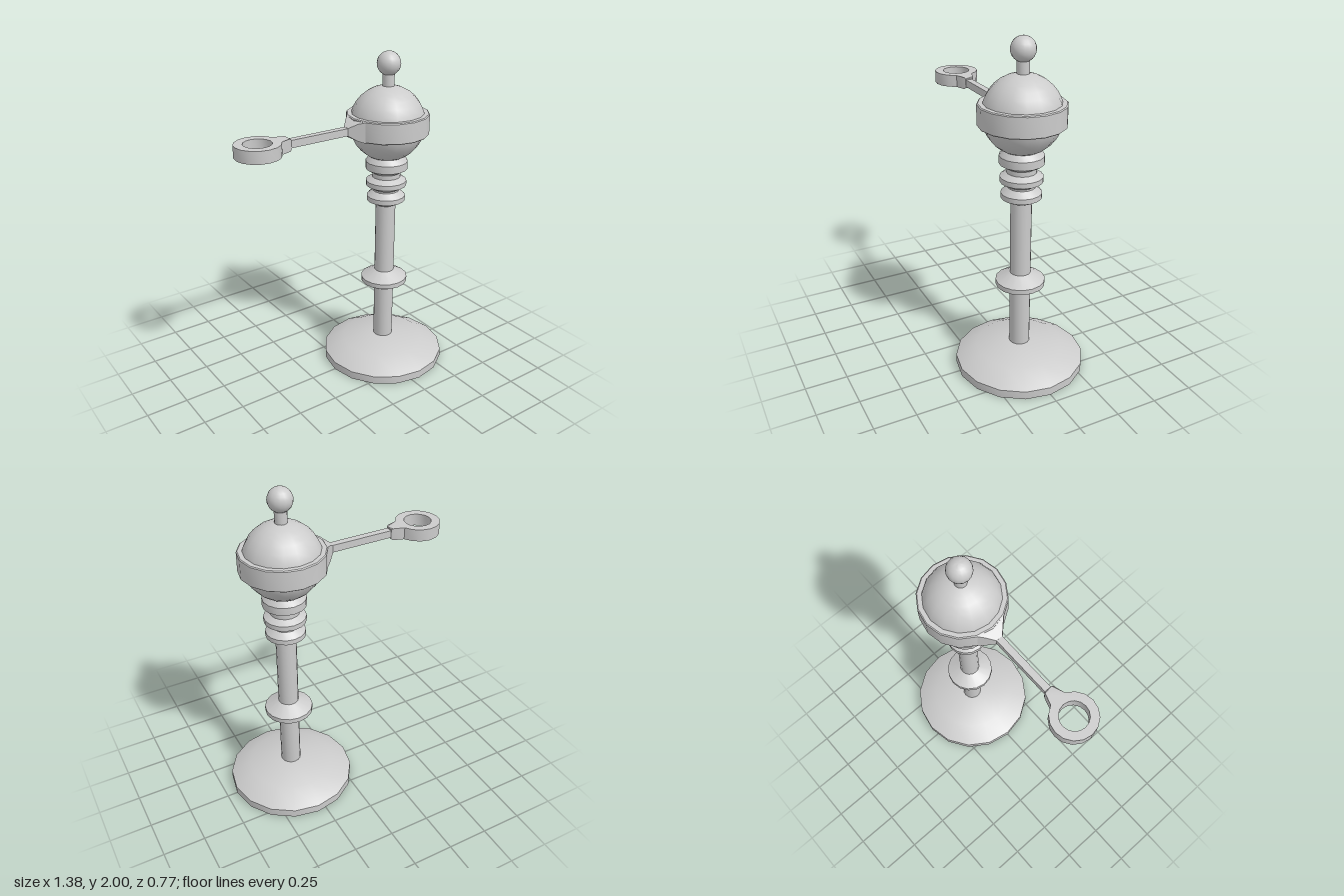
import * as THREE from 'three';
import { toCreasedNormals } from 'three/addons/utils/BufferGeometryUtils.js';

const SIDES = 16;
const AXIS_X = 0.303; // the post stands off centre, the arm reaches to -x
const ARM_Y = 1.58;

export function createModel() {
  const model = new THREE.Group();
  const material = new THREE.MeshStandardMaterial({ color: 0xcccccc });

  const add = (name, geometry, x, y, crease = 0.5) => {
    const mesh = new THREE.Mesh(toCreasedNormals(geometry, crease), material);
    mesh.name = name;
    mesh.position.set(x, y, 0);
    model.add(mesh);
  };
  // Turned part from [radius, height] pairs, bottom to top
  const turn = (name, profile) =>
    add(name, new THREE.LatheGeometry(profile.map(([r, y]) => new THREE.Vector2(r, y)), SIDES), AXIS_X, 0);

  // Domed foot and post
  turn('base', [[0, 0], [0.385, 0], [0.385, 0.05], [0.26, 0.12], [0.07, 0.148], [0, 0.148]]);
  turn('post', [[0.061, 0.13], [0.061, 1.1]]);
  turn('collar', [[0.06, 0.495], [0.145, 0.545], [0.145, 0.575], [0.06, 0.622]]);

  // Stacked rings below the ball
  turn('neckRings', [
    [0.06, 1.07], [0.117, 1.1], [0.117, 1.13], [0.08, 1.162],
    [0.08, 1.172], [0.123, 1.197], [0.123, 1.227], [0.085, 1.25],
    [0.085, 1.278], [0.127, 1.303], [0.127, 1.35], [0.1, 1.385],
  ]);

  // Ball with its band, and the knob on top
  add('ball', new THREE.SphereGeometry(0.225, SIDES, SIDES), AXIS_X, ARM_Y);
  turn('band', [[0.2, 1.52], [0.24, 1.52], [0.246, 1.525], [0.246, 1.64], [0.24, 1.645], [0.2, 1.645]]);
  turn('knobStem', [[0.035, 1.79], [0.035, 1.88]]);
  add('knob', new THREE.SphereGeometry(0.07, SIDES, 12), AXIS_X, 1.93);

  // Flared bracket: a box whose sections [x, half height, half depth] grow towards the band
  const sections = [[0.005, 0.023, 0.021], [0.045, 0.05, 0.061], [0.077, 0.0615, 0.093]];
  const flare = new THREE.BoxGeometry(2, 2, 2, 2, 1, 1);
  const p = flare.attributes.position;
  for (let i = 0; i < p.count; i++) {
    const [x, h, d] = sections[Math.round(p.getX(i)) + 1];
    p.setXYZ(i, x, p.getY(i) * h, p.getZ(i) * d);
  }
  add('armBracket', flare, 0, ARM_Y);

  // Square arm
  add('arm', new THREE.BoxGeometry(0.4, 0.044, 0.04), -0.185, ARM_Y);

  // Ring at the arm's end, its outline drawn out into a short socket
  const outline = [];
  for (let k = 1; k < SIDES; k++) {
    const a = (k / SIDES) * Math.PI * 2;
    outline.push(new THREE.Vector2(0.13 * Math.cos(a), 0.13 * Math.sin(a)));
  }
  for (const [x, y] of [[0.185, -0.029], [0.193, -0.023], [0.193, 0.023], [0.185, 0.029]])
    outline.push(new THREE.Vector2(x, y));
  const shape = new THREE.Shape(outline);
  const hole = [];
  for (let k = 0; k < SIDES; k++) {
    const a = (-k / SIDES) * Math.PI * 2;
    hole.push(new THREE.Vector2(0.08 * Math.cos(a), 0.08 * Math.sin(a)));
  }
  shape.holes.push(new THREE.Path(hole));
  const ring = new THREE.ExtrudeGeometry(shape, { depth: 0.072, bevelEnabled: false });
  ring.translate(0, 0, -0.036).rotateX(-Math.PI / 2);
  // Bevel the socket's tip
  const q = ring.attributes.position;
  for (let i = 0; i < q.count; i++) if (q.getX(i) > 0.19) q.setY(i, q.getY(i) * 0.8);
  add('endRing', ring, -0.563, ARM_Y);

  return model;
}
